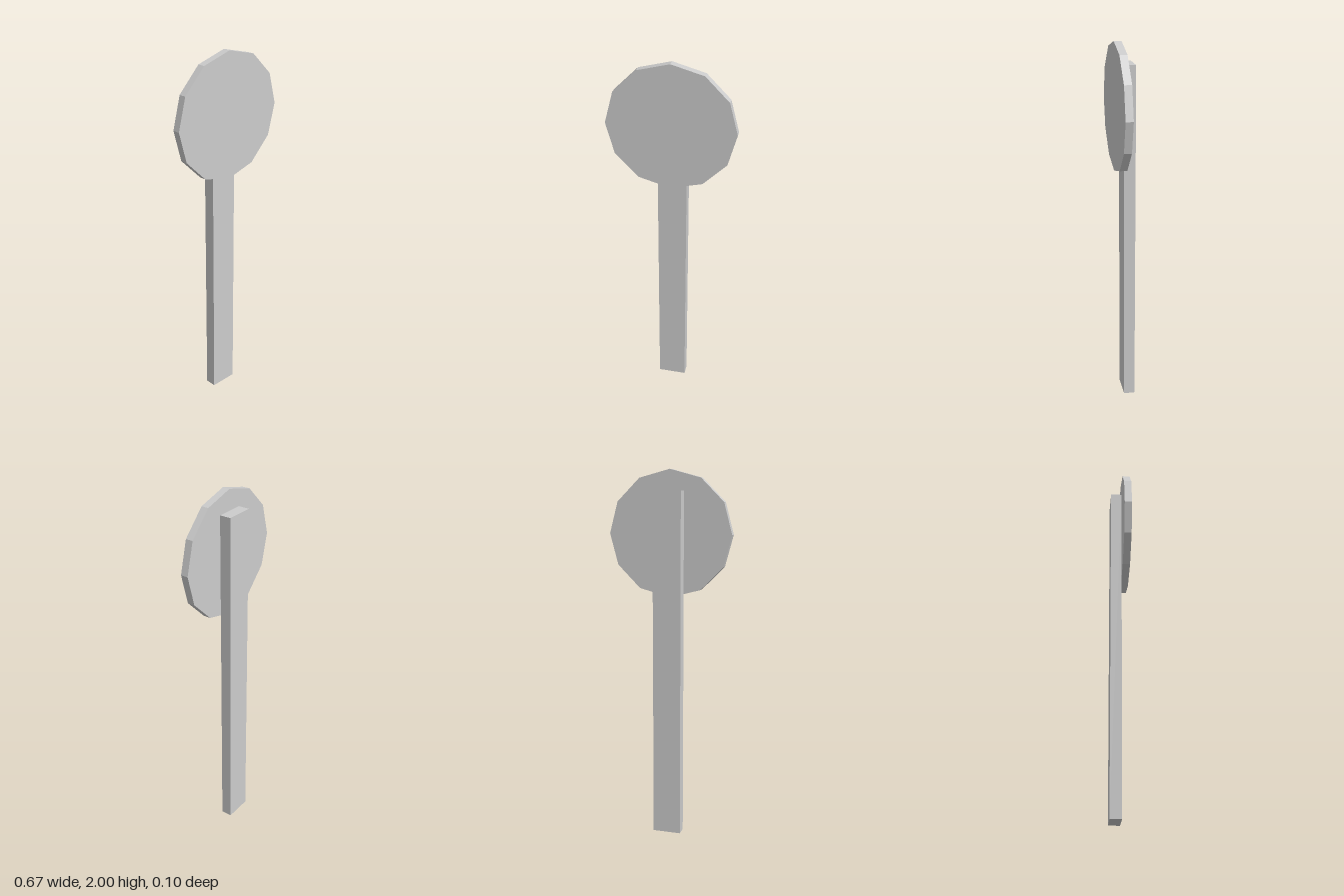
import * as THREE from 'three';

const POST = { width: 0.154, height: 1.89, depth: 0.061 };
const DISC = { radius: 0.337, depth: 0.04, sides: 12 };

export function createModel() {
  const group = new THREE.Group();
  group.name = 'roundSignOnPost';
  const material = new THREE.MeshStandardMaterial({ color: 0xcccccc, flatShading: true });

  // Flat post standing behind the disc
  const post = new THREE.Mesh(new THREE.BoxGeometry(POST.width, POST.height, POST.depth), material);
  post.name = 'post';
  post.position.set(0, POST.height / 2, -0.02);
  group.add(post);

  // Twelve-sided disc facing forward, with a corner at the top
  const discGeometry = new THREE.CylinderGeometry(DISC.radius, DISC.radius, DISC.depth, DISC.sides);
  discGeometry.rotateX(Math.PI / 2);
  const disc = new THREE.Mesh(discGeometry, material);
  disc.name = 'signDisc';
  disc.position.set(0, 2 - DISC.radius, 0.0305);
  group.add(disc);

  return group;
}
